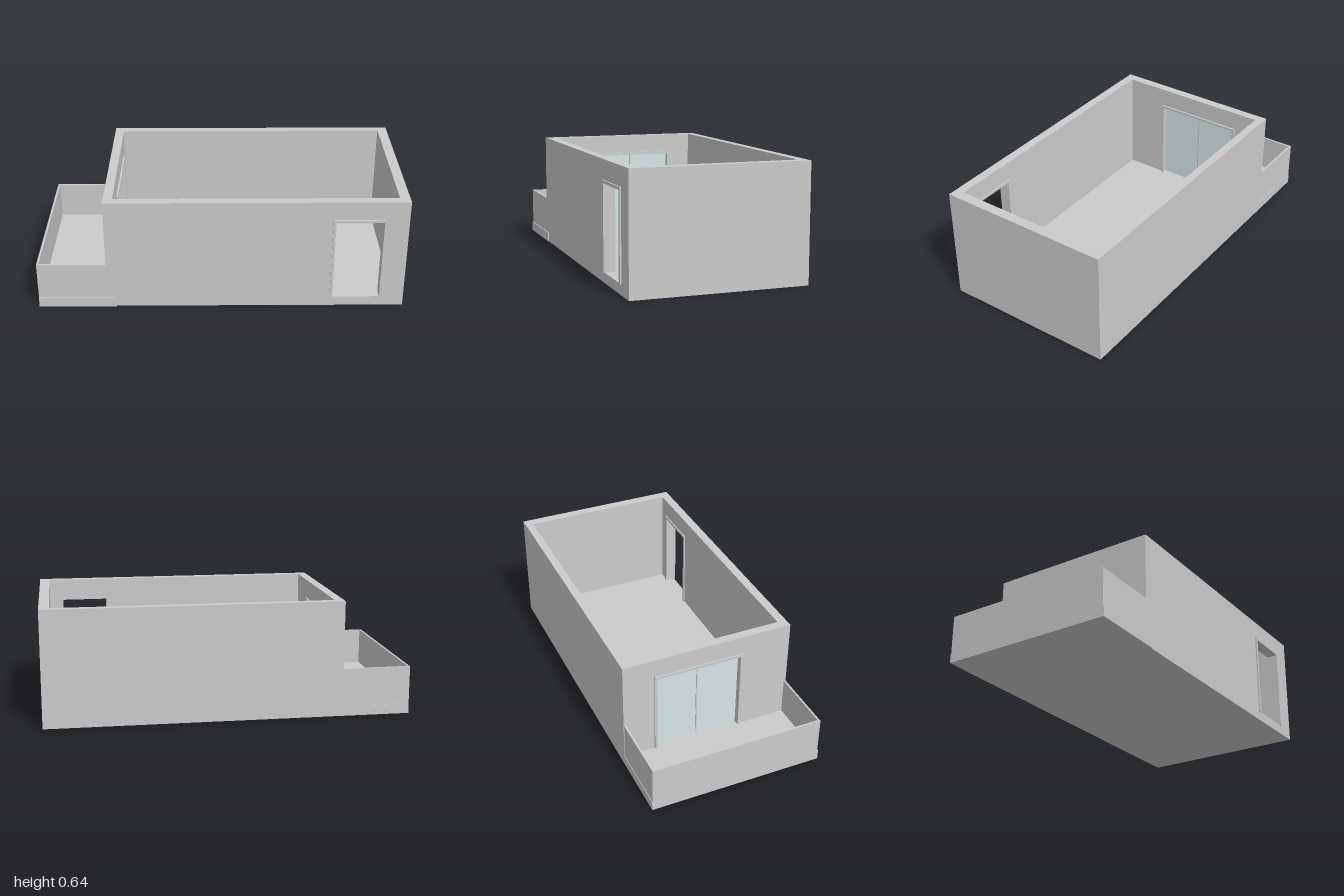
import * as THREE from 'three';

const grey = new THREE.MeshStandardMaterial({ color: 0xcccccc });
const glass = new THREE.MeshStandardMaterial({ color: 0xd6e6e8 });

// Box from its min and max corners
function box(name, [x0, x1], [y0, y1], [z0, z1], material = grey) {
  const mesh = new THREE.Mesh(new THREE.BoxGeometry(x1 - x0, y1 - y0, z1 - z0), material);
  mesh.position.set((x0 + x1) / 2, (y0 + y1) / 2, (z0 + z1) / 2);
  mesh.name = name;
  return mesh;
}

// Upright slab with a doorway cut from its lower edge: u runs along the wall
function doorwaySlab(name, [u0, u1], [y0, y1], [d0, d1, top], depth) {
  const shape = new THREE.Shape([
    [u0, y0], [d0, y0], [d0, top], [d1, top], [d1, y0], [u1, y0], [u1, y1], [u0, y1],
  ].map(([u, y]) => new THREE.Vector2(u, y)));
  const geometry = new THREE.ExtrudeGeometry(shape, { depth, bevelEnabled: false });
  const mesh = new THREE.Mesh(geometry, grey);
  mesh.name = name;
  return mesh;
}

export function createModel() {
  const model = new THREE.Group();
  model.name = 'room';
  const floorY = 0.055, wallTop = 0.64, doorTop = 0.52, frameTop = 0.535;

  // Floors
  model.add(
    box('roomFloor', [-0.575, 0.945], [0, floorY], [-0.44, 0.477]),
    box('balconyFloor', [-1, -0.575], [0, floorY], [-0.485, 0.483]),
  );

  // Plain walls
  model.add(
    box('endWall', [0.945, 1], [0, wallTop], [-0.485, 0.477]),
    box('backWall', [-0.575, 0.945], [0, wallTop], [-0.485, -0.44]),
  );

  // Front wall with its open doorway and frame
  const frontWall = doorwaySlab('frontWall', [-0.625, 0.945], [floorY, wallTop], [0.6, 0.875, 0.527], 0.05);
  frontWall.position.z = 0.427;
  const frontFrame = doorwaySlab('frontDoorFrame', [0.595, 0.885], [floorY, frameTop], [0.61, 0.867, doorTop], 0.065);
  frontFrame.position.z = 0.42;
  model.add(frontWall, frontFrame);

  // Balcony wall and frame, turned so that u runs along z
  const balconyWall = doorwaySlab('balconyWall', [-0.485, 0.427], [floorY, wallTop], [-0.303, 0.193, 0.527], 0.05);
  balconyWall.position.x = -0.575;
  const balconyFrame = doorwaySlab('balconyDoorFrame', [-0.31, 0.2], [floorY, frameTop], [-0.295, 0.185, doorTop], 0.07);
  balconyFrame.position.x = -0.565;
  for (const part of [balconyWall, balconyFrame]) {
    part.rotation.y = -Math.PI / 2;
    model.add(part);
  }

  // Glazed balcony door
  model.add(
    box('glassPane', [-0.6, -0.594], [floorY, doorTop], [-0.295, -0.057], glass),
    box('glassPane', [-0.6, -0.594], [floorY, doorTop], [-0.053, 0.185], glass),
    box('doorMullion', [-0.604, -0.59], [floorY, doorTop], [-0.059, -0.051]),
  );

  // Balcony parapet
  const rail = [floorY, 0.265];
  model.add(
    box('parapetEnd', [-1, -0.988], rail, [-0.482, 0.477]),
    box('parapetFront', [-0.988, -0.625], rail, [0.466, 0.477]),
    box('parapetBack', [-0.988, -0.625], rail, [-0.482, -0.47]),
  );
  return model;
}
